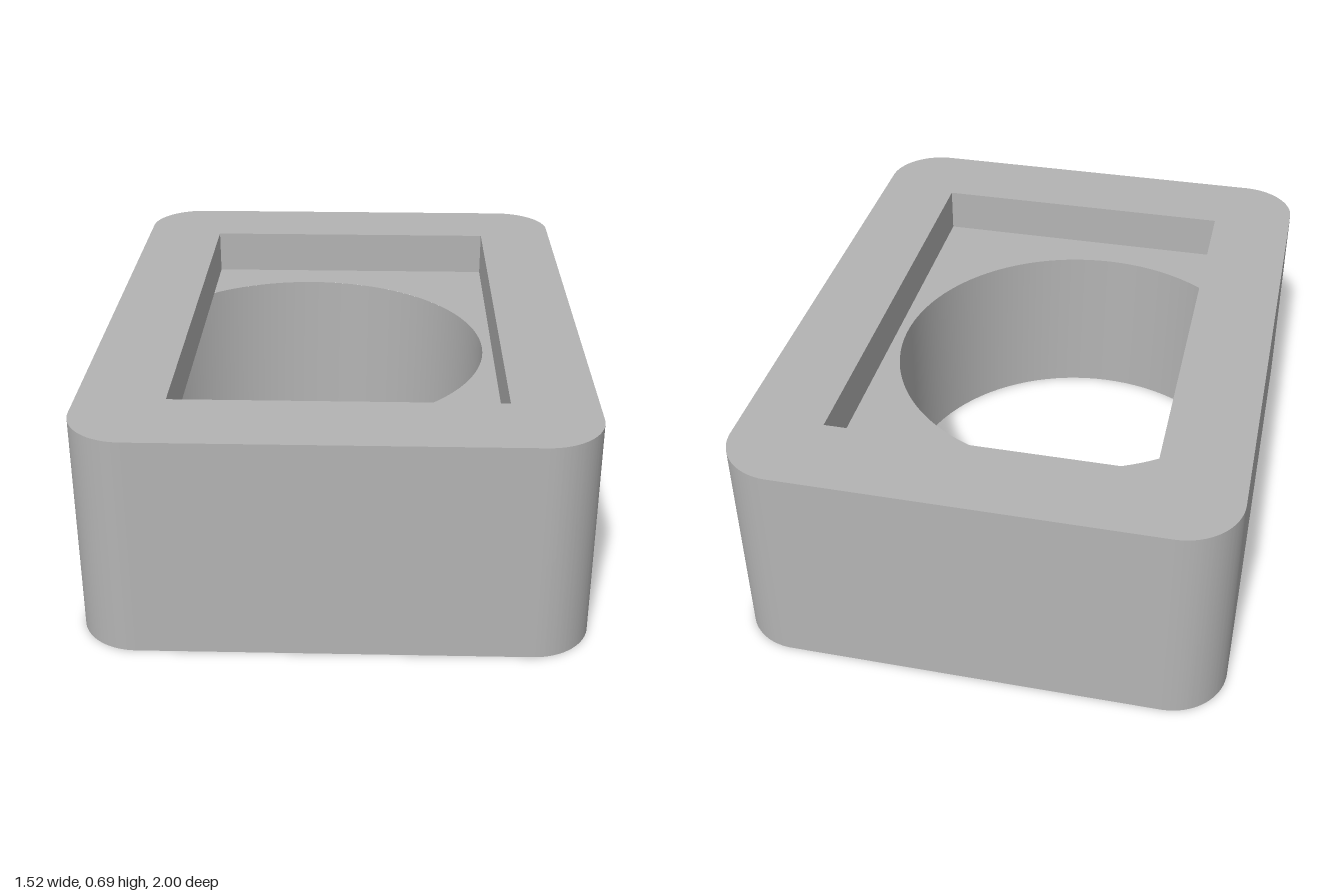
import * as THREE from 'three';
import { toCreasedNormals } from 'three/addons/utils/BufferGeometryUtils.js';

const W = 0.762, D = 1, H = 0.692, R = 0.18;   // outer half sizes, height, corner radius
const FLOOR = 0.545;                           // height of the pocket floor
const LEFT = -0.495, RIGHT = 0.505, PZ = 0.727; // pocket limits
const CX = -0.13, CR = 0.602;                   // bore centre and radius
const SEG = 48;

function outline() {
  const s = new THREE.Shape();
  s.absarc(W - R, D - R, R, 0, Math.PI / 2);
  s.absarc(-W + R, D - R, R, Math.PI / 2, Math.PI);
  s.absarc(-W + R, -D + R, R, Math.PI, Math.PI * 1.5);
  s.absarc(W - R, -D + R, R, Math.PI * 1.5, Math.PI * 2);
  s.closePath();
  return s;
}

function pocketOutline() {
  return new THREE.Shape([[LEFT, -PZ], [RIGHT, -PZ], [RIGHT, PZ], [LEFT, PZ]]
    .map(([x, y]) => new THREE.Vector2(x, y)));
}

function boreOutline() {
  return new THREE.Shape().absarc(CX, 0, CR, 0, Math.PI * 2);
}

// Flat horizontal face at height y, facing up or down
function flatFace(shape, y, up) {
  return new THREE.ShapeGeometry(shape, SEG)
    .rotateX(up ? -Math.PI / 2 : Math.PI / 2).translate(0, y, 0);
}

// Vertical wall along a closed outline, facing outward or inward
function wall(shape, y0, y1, inward) {
  let pts = shape.getPoints(SEG);
  if (pts[0].distanceTo(pts[pts.length - 1]) < 1e-6) pts.pop();
  pts = pts.filter((p, i) => i === 0 || p.distanceTo(pts[i - 1]) > 1e-6);
  if (inward) pts.reverse();
  const pos = [];
  pts.forEach((p, i) => {
    const q = pts[(i + 1) % pts.length];
    pos.push(p.x, y0, -p.y, q.x, y0, -q.y, q.x, y1, -q.y);
    pos.push(p.x, y0, -p.y, q.x, y1, -q.y, p.x, y1, -p.y);
  });
  const g = new THREE.BufferGeometry();
  g.setAttribute('position', new THREE.Float32BufferAttribute(pos, 3));
  return toCreasedNormals(g, Math.PI / 6);
}

export function createModel() {
  const model = new THREE.Group();
  model.name = 'pocketedBlock';
  const grey = new THREE.MeshStandardMaterial({ color: 0xb4b4b4 });
  grey.name = 'grey';
  const add = (name, geometry) => {
    const mesh = new THREE.Mesh(geometry, grey);
    mesh.name = name;
    model.add(mesh);
  };

  // Outer block: rim on top, bored underside
  const rim = outline();
  rim.holes.push(pocketOutline());
  const base = outline();
  base.holes.push(boreOutline());
  add('outerWall', wall(outline(), 0, H, false));
  add('topRim', flatFace(rim, H, true));
  add('underside', flatFace(base, 0, false));

  // Rectangular pocket and round bore
  add('pocketWall', wall(pocketOutline(), FLOOR, H, true));
  add('boreWall', wall(boreOutline(), 0, FLOOR, true));

  // Pocket floor, cut by the bore which runs past the pocket's right side
  const t = Math.acos((LEFT - CX) / CR), cut = CR * Math.sin(t);
  const floor = new THREE.Shape();
  floor.moveTo(LEFT, cut);
  floor.lineTo(LEFT, PZ);
  floor.lineTo(RIGHT, PZ);
  floor.lineTo(RIGHT, -PZ);
  floor.lineTo(LEFT, -PZ);
  floor.lineTo(LEFT, -cut);
  floor.absarc(CX, 0, CR, -t, t, false);
  add('pocketFloor', flatFace(floor, FLOOR, true));

  // Ceiling of the bore under the overhanging rim
  const ceiling = new THREE.Shape().absarc(CX, 0, CR, t, Math.PI * 2 - t, false);
  add('boreCeiling', flatFace(ceiling, FLOOR, false));

  return model;
}
